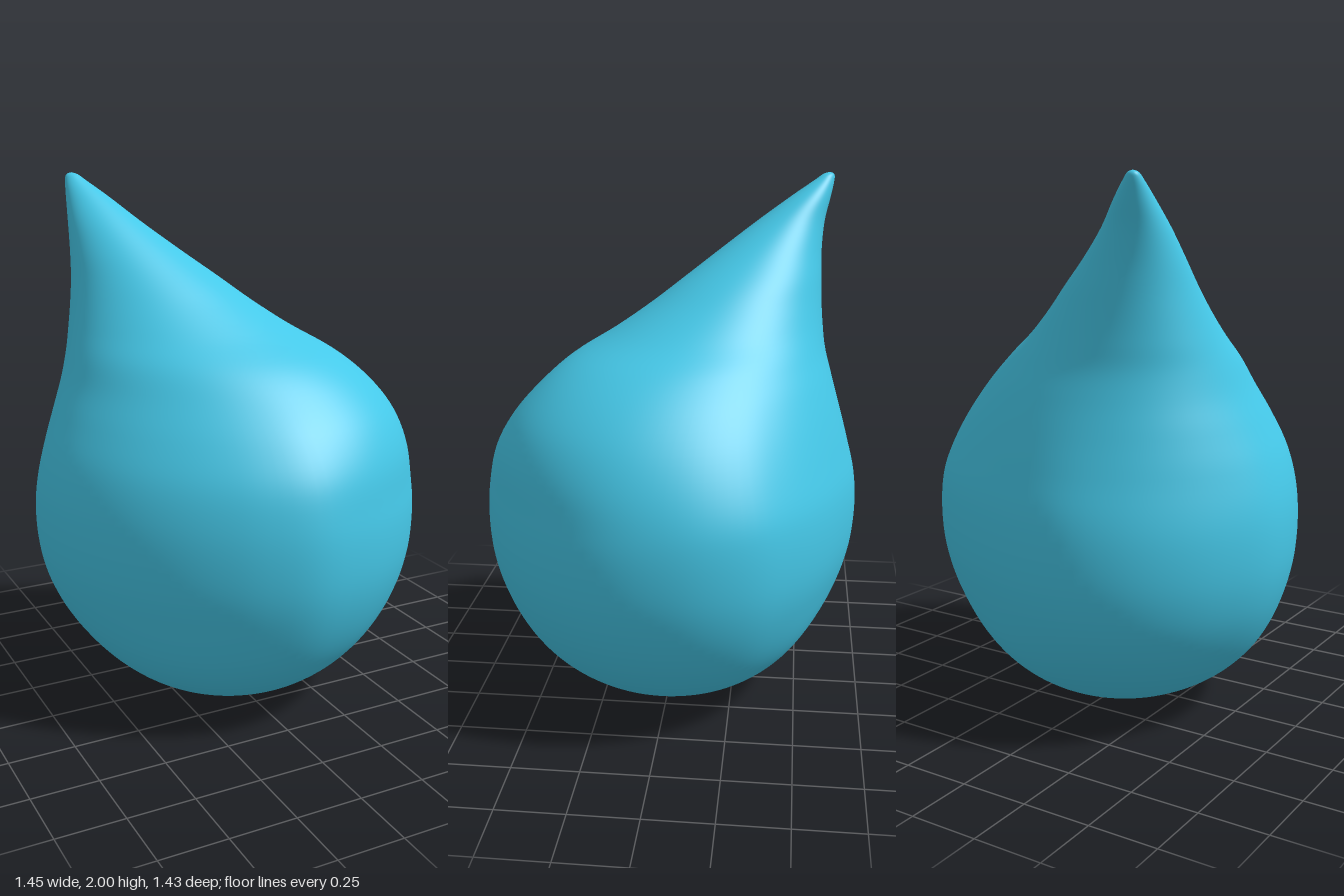
import * as THREE from 'three';

const RADIUS = 0.727;

// Upper sections of the drop: height, centre x, centre z, radius
const upperSections = [
  [0.867, 0, 0, 0.718], [1.005, 0, 0, 0.682], [1.135, -0.005, -0.02, 0.622], [1.25, -0.025, -0.055, 0.55],
  [1.35, -0.065, -0.1, 0.476], [1.44, -0.121, -0.171, 0.393], [1.53, -0.169, -0.235, 0.322],
  [1.62, -0.213, -0.294, 0.26], [1.72, -0.267, -0.36, 0.193], [1.82, -0.318, -0.432, 0.13],
  [1.91, -0.357, -0.506, 0.077], [1.97, -0.385, -0.557, 0.038], [1.992, -0.393, -0.572, 0.021], [2, -0.395, -0.577, 0],
];

// Radius of the belly every 15 degrees, from +x towards +z (slightly flattened sides)
const bellyRadii = [
  0.725, 0.725, 0.72, 0.715, 0.71, 0.712, 0.715, 0.685, 0.66, 0.652, 0.66, 0.68,
  0.712, 0.742, 0.745, 0.748, 0.748, 0.738, 0.705, 0.675, 0.672, 0.69, 0.72, 0.728,
];

function spline(points, closed = false) {
  return new THREE.CatmullRomCurve3(points, closed, 'catmullrom', 0.5);
}

function dropGeometry(rows, sides) {
  // Round bottom half, then the sections that lean towards the tip
  const sections = [];
  for (let k = 0; k <= 8; k++) {
    const a = (k / 8) * Math.PI / 2;
    sections.push([RADIUS * (1 - Math.cos(a)), 0, 0, RADIUS * Math.sin(a)]);
  }
  sections.push(...upperSections);

  const profile = spline(sections.map(([y, , , r]) => new THREE.Vector3(r, y, 0)));
  const spine = spline(sections.map(([, x, z]) => new THREE.Vector3(x, 0, z)));
  const belly = spline(bellyRadii.map((r) => new THREE.Vector3(r / 0.727, 0, 0)), true);
  const { lerp, smoothstep } = THREE.MathUtils;
  const positions = [0, 0, 0];
  const index = [];

  // Rings between the bottom and the tip: round, then belly outline, then diagonal ellipse
  for (let i = 1; i < rows; i++) {
    const p = profile.getPoint(i / rows);
    const c = spine.getPoint(i / rows);
    const bellyWeight = smoothstep(p.y, 0, 0.5);
    const neckWeight = smoothstep(p.y, 0.85, 1.4);
    for (let j = 0; j < sides; j++) {
      const a = (j / sides) * Math.PI * 2;
      const d = a - Math.PI / 4;
      const ellipse = 1 / Math.hypot(Math.cos(d) / 1.12, Math.sin(d) / 0.88);
      const lower = lerp(1, belly.getPoint(j / sides).x, bellyWeight);
      const r = p.x * lerp(lower, ellipse, neckWeight);
      positions.push(c.x + r * Math.cos(a), p.y, c.z + r * Math.sin(a));
    }
  }
  const [tipY, tipX, tipZ] = sections[sections.length - 1];
  positions.push(tipX, tipY, tipZ);

  // Faces: bottom fan, bands, tip fan
  const at = (i, j) => 1 + (i - 1) * sides + (j % sides);
  const tip = positions.length / 3 - 1;
  for (let j = 0; j < sides; j++) {
    index.push(0, at(1, j), at(1, j + 1));
    for (let i = 1; i < rows - 1; i++) {
      index.push(at(i, j), at(i + 1, j), at(i, j + 1));
      index.push(at(i, j + 1), at(i + 1, j), at(i + 1, j + 1));
    }
    index.push(at(rows - 1, j), tip, at(rows - 1, j + 1));
  }

  const geometry = new THREE.BufferGeometry();
  geometry.setAttribute('position', new THREE.Float32BufferAttribute(positions, 3));
  geometry.setIndex(index);
  geometry.computeVertexNormals();
  return geometry;
}

export function createModel() {
  const group = new THREE.Group();
  group.name = 'waterDrop';
  const drop = new THREE.Mesh(dropGeometry(110, 96), new THREE.MeshStandardMaterial({ color: 0x45c8e8 }));
  drop.name = 'dropBody';
  group.add(drop);
  return group;
}
